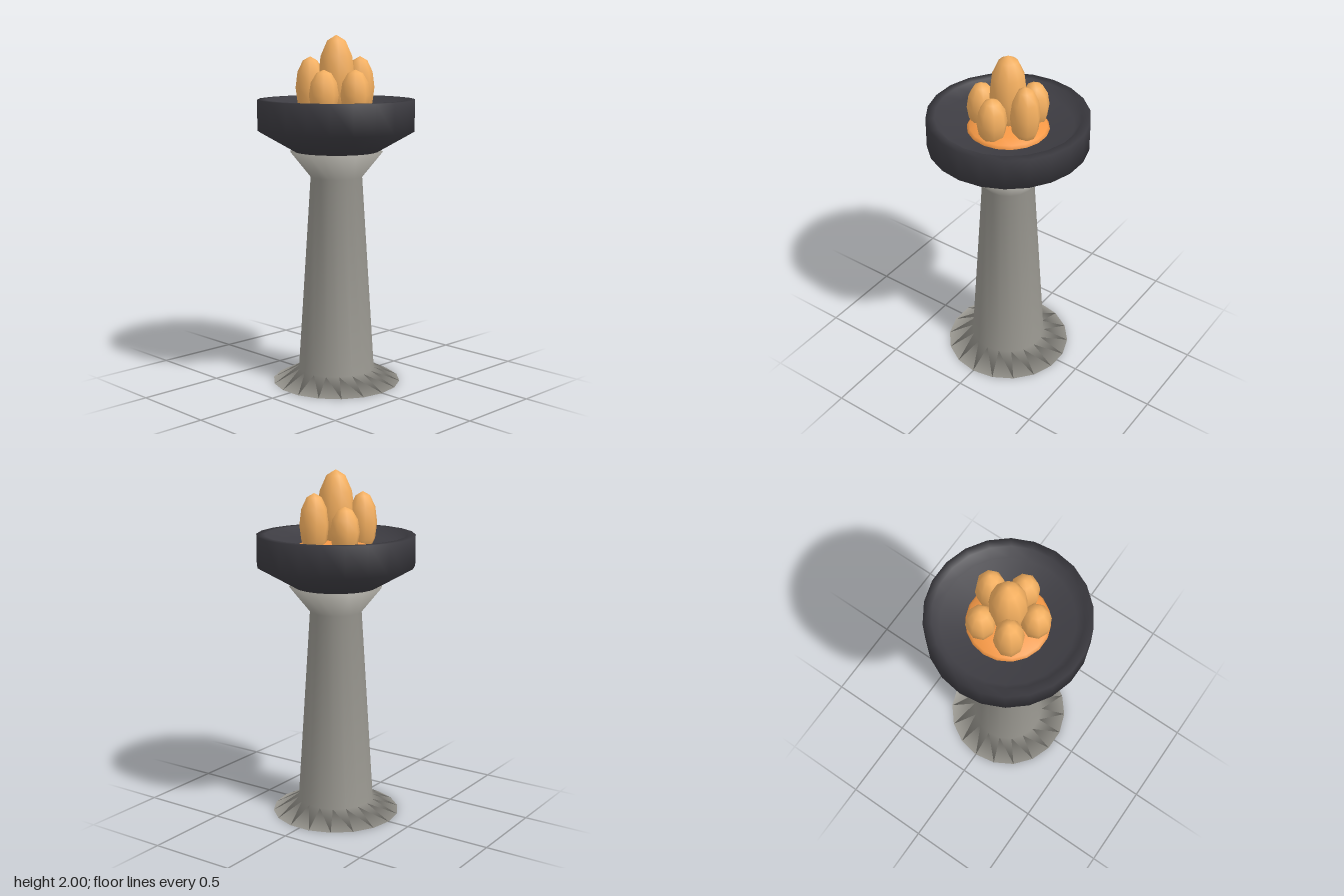
import * as THREE from 'three';

const mat = (color) => new THREE.MeshStandardMaterial({ color });

// Turned part from [radius, height] pairs, with a vertex on the x axis
function turned(name, profile, sides, material) {
  const geo = new THREE.LatheGeometry(profile.map(([r, y]) => new THREE.Vector2(r, y)), sides);
  geo.rotateY(Math.PI / 2);
  const mesh = new THREE.Mesh(geo, material);
  mesh.name = name;
  return mesh;
}

// Stretched low-poly sphere
function ellipsoid(name, r, ry, x, y, z, sides, rings, material) {
  const mesh = new THREE.Mesh(new THREE.SphereGeometry(1, sides, rings), material);
  mesh.scale.set(r, ry, r);
  mesh.position.set(x, y, z);
  mesh.name = name;
  return mesh;
}

export function createModel() {
  const group = new THREE.Group();
  group.name = 'brazier';
  const stone = mat(0x96948d);
  const iron = mat(0x3d3c42);
  const ember = mat(0xf59845);
  const fire = mat(0xf5b060);

  // Stone pedestal with flared foot and capital
  group.add(turned('pedestal', [
    [0, 0], [0.37, 0], [0.22, 0.078], [0.148, 1.2], [0.265, 1.345], [0, 1.345],
  ], 18, stone));

  // Iron bowl with a shallow hollow
  group.add(turned('bowl', [
    [0, 1.345], [0.237, 1.345], [0.447, 1.465], [0.447, 1.64],
    [0.4, 1.64], [0.36, 1.58], [0, 1.53],
  ], 22, iron));

  // Glowing ember bed
  group.add(ellipsoid('emberBed', 0.232, 0.06, 0, 1.555, 0, 18, 8, ember));

  // Tall middle flame ringed by five flames of alternating height
  const flames = new THREE.Group();
  flames.name = 'flames';
  flames.add(ellipsoid('centreFlame', 0.104, 0.235, 0, 1.765, 0, 10, 6, fire));
  for (let i = 0; i < 5; i++) {
    const a = (i * Math.PI * 2) / 5;
    const h = i % 2 ? 0.175 : 0.14;
    flames.add(ellipsoid('outerFlame', 0.083, h,
      Math.cos(a) * 0.15, 1.53 + h, -Math.sin(a) * 0.15, 8, 6, fire));
  }
  group.add(flames);
  return group;
}
